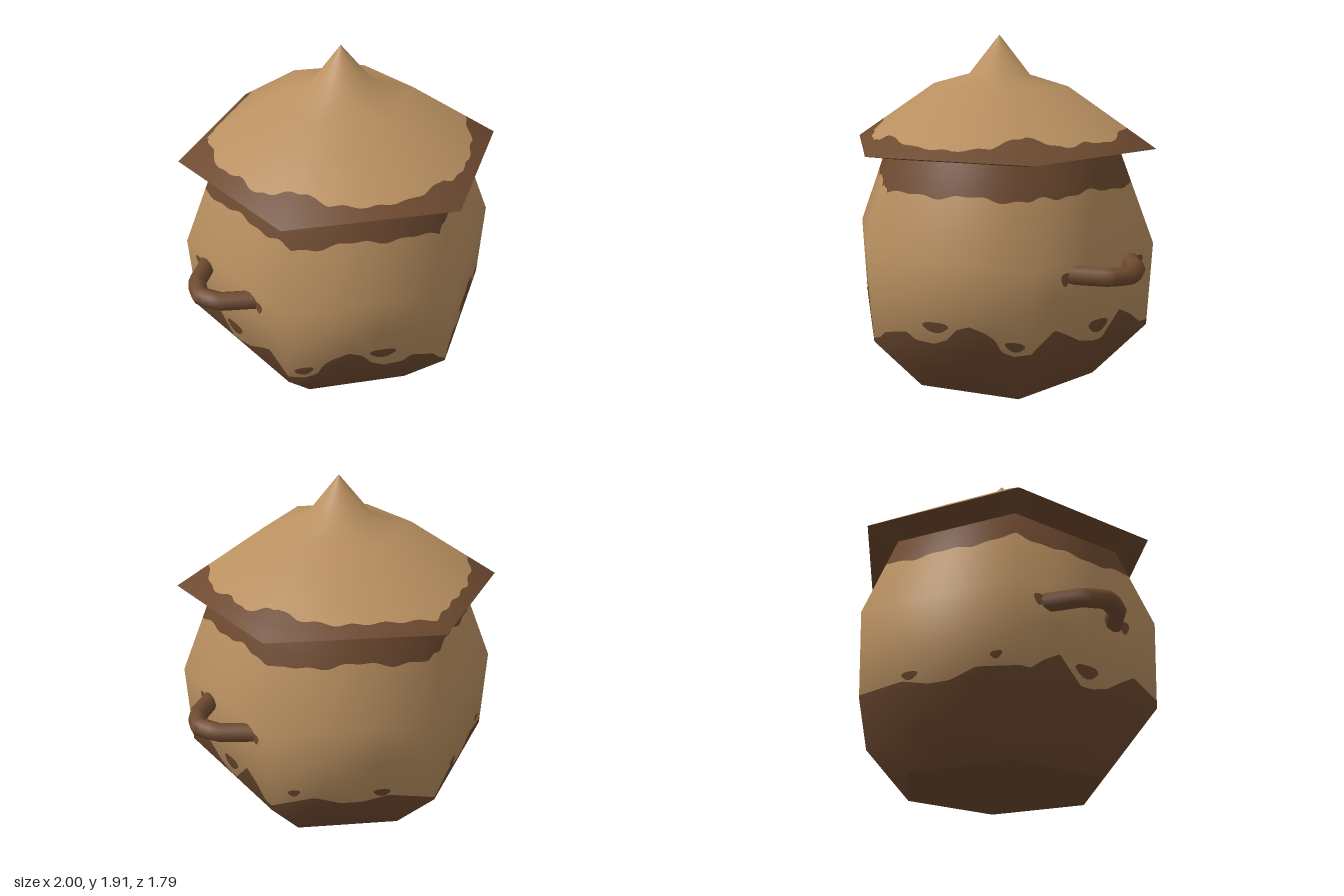
import * as THREE from 'three';

const tan = new THREE.MeshStandardMaterial({ color: 0xb88f60 });
tan.name = 'lightClay';
const brown = new THREE.MeshStandardMaterial({ color: 0x6e4a30 });
brown.name = 'brownGlaze';

// Hexagon direction: u runs 0..6 round the pot, whole numbers are corners, 0 is +z
function hex(u) {
  const i = Math.floor(u), f = u - i;
  const a = i * Math.PI / 3, b = a + Math.PI / 3;
  return [Math.sin(a) * (1 - f) + Math.sin(b) * f, Math.cos(a) * (1 - f) + Math.cos(b) * f];
}
const fold = (u) => (u > 3 ? 6 - u : u);

// Piecewise linear lookup in a short list of [key, value]
function lookup(table, k) {
  let i = 0;
  while (i < table.length - 2 && k > table[i + 1][0]) i++;
  const [k0, v0] = table[i], [k1, v1] = table[i + 1];
  return v0 + (v1 - v0) * Math.min(1, Math.max(0, (k - k0) / (k1 - k0)));
}

// Hexagonal surface from a rising profile of [y, radius], with smooth normals
function makeSurface(profile) {
  const seg = profile.slice(1).map(([y, r], i) =>
    new THREE.Vector2(y - profile[i][0], profile[i][1] - r).normalize());
  const normals = profile.map((_, i) =>
    (seg[i - 1] || seg[i]).clone().add(seg[i] || seg[i - 1]).normalize());
  const nr = profile.map((p, i) => [p[0], normals[i].x]);
  const ny = profile.map((p, i) => [p[0], normals[i].y]);
  return (u, y, lift = 0) => {
    const [dx, dz] = hex(u), r = lookup(profile, y), k = lookup(nr, y);
    const n = new THREE.Vector3(dx * k, lookup(ny, y), dz * k).normalize();
    return { p: new THREE.Vector3(dx * r, y, dz * r).addScaledVector(n, lift), n };
  };
}

function build(name, points, index, material) {
  const g = new THREE.BufferGeometry();
  g.setAttribute('position', new THREE.Float32BufferAttribute(points.flatMap((v) => v.p.toArray()), 3));
  g.setAttribute('normal', new THREE.Float32BufferAttribute(points.flatMap((v) => v.n.toArray()), 3));
  g.setIndex(index);
  const m = new THREE.Mesh(g, material);
  m.name = name;
  return m;
}

// Ring of surface between edges; each edge is a height or a function of u
function band(name, surface, edges, material, perSide = 48) {
  const points = [], index = [], n = perSide * 6, w = n + 1, rows = [];
  edges.forEach((e, j) => {
    if (j) rows.push([edges[j - 1], e, 0.5]);
    rows.push([e, e, 0]);
  });
  const at = (e, u) => (typeof e === 'function' ? e(u) : e);
  rows.forEach(([a, b, t]) => {
    for (let i = 0; i <= n; i++) {
      const u = i / perSide;
      points.push(surface(u, at(a, u) * (1 - t) + at(b, u) * t));
    }
  });
  for (let j = 0; j < rows.length - 1; j++) {
    for (let i = 0; i < n; i++) {
      const a = j * w + i, c = a + w;
      index.push(a, a + 1, c + 1, a, c + 1, c);
    }
  }
  return build(name, points, index, material);
}

// Thin oval of glaze lying on the surface
function spot(name, surface, u, y, du, dy) {
  const points = [surface(u, y, 0.004)], index = [], n = 16;
  for (let i = 0; i < n; i++) {
    const a = i / n * Math.PI * 2, k = 1 + 0.12 * Math.sin(3 * a);
    points.push(surface(u + du * k * Math.cos(a), y + dy * k * Math.sin(a), 0.004));
    index.push(0, i + 1, (i + 1) % n + 1);
  }
  return build(name, points, index, brown);
}

// Wavy glaze lines, mirrored left to right
const dripLine = [[0, 0.35], [0.05, 0.36], [0.07, 0.39], [0.22, 0.41], [0.28, 0.37], [0.4, 0.36],
  [0.48, 0.39], [0.54, 0.45], [0.62, 0.475], [0.72, 0.45], [0.78, 0.42], [0.82, 0.36], [0.9, 0.345],
  [1, 0.37], [1.1, 0.42], [1.18, 0.46], [1.27, 0.42], [1.39, 0.36], [1.5, 0.337], [1.58, 0.337],
  [1.64, 0.39], [1.73, 0.47], [1.84, 0.42], [1.93, 0.36], [2, 0.36], [2.26, 0.39], [2.42, 0.345],
  [2.55, 0.345], [2.72, 0.38], [2.88, 0.36], [3, 0.345]];
const lidLine = [[0, 1.415], [0.15, 1.385], [0.25, 1.37], [0.5, 1.36], [0.75, 1.38], [0.9, 1.42],
  [1, 1.435], [1.15, 1.4], [1.3, 1.37], [1.5, 1.385], [1.7, 1.37], [1.88, 1.41], [2, 1.43],
  [2.15, 1.39], [2.4, 1.365], [3, 1.37]];
const drip = (u) => lookup(dripLine, fold(u));
const lidEdge = (u) => lookup(lidLine, fold(u)) + 0.004 * Math.sin(fold(u) * 31);
const neck = (u) => 1.118 + 0.01 * Math.sin(fold(u) * 13) + 0.006 * Math.sin(fold(u) * 29);

export function createModel() {
  const model = new THREE.Group();
  model.name = 'lidded pot';

  // Body
  const body = makeSurface([[0, 0.57], [0.33, 0.87], [0.8, 0.893], [1.29, 0.7]]);
  model.add(
    band('glazedBase', body, [0, 0.33, drip], brown),
    band('bodyWall', body, [drip, 0.8, neck], tan),
    band('neckBand', body, [neck, 1.29], brown),
  );
  const bottom = new THREE.Mesh(
    new THREE.CircleGeometry(0.57, 6, Math.PI / 2).rotateX(Math.PI / 2), brown);
  bottom.name = 'bottom';
  model.add(bottom);

  // Glaze spots and the smears round the handle ends
  const spots = [[0.41, 0.455, 0.08, 0.028], [0.9, 0.4, 0.058, 0.025], [1.54, 0.42, 0.08, 0.036],
    [2.14, 0.435, 0.035, 0.02], [2.67, 0.405, 0.05, 0.022],
    [1.25, 0.72, 0.035, 0.035], [1.87, 0.725, 0.035, 0.03]];
  for (const [u, y, du, dy] of spots) {
    model.add(spot('glazeSpot', body, u, y, du, dy), spot('glazeSpot', body, 6 - u, y, du, dy));
  }

  // Lid with pointed knob
  const lid = makeSurface([[1.318, 0.893], [1.64, 0.4], [1.7, 0.18], [1.915, 0.001]]);
  const underside = makeSurface([[1.285, 0.7], [1.318, 0.893]]);
  model.add(
    band('lidUnderside', underside, [1.285, 1.318], brown, 4),
    band('lidRim', lid, [1.318, lidEdge], brown),
    band('lidTop', lid, [lidEdge, 1.64, 1.7, 1.915], tan),
  );

  // Side handles
  for (const s of [1, -1]) {
    const path = new THREE.CatmullRomCurve3(
      [[0.72, -0.295], [0.9, -0.165], [0.95, -0.055], [0.9, 0.055], [0.72, 0.185]]
        .map(([x, z]) => new THREE.Vector3(s * x, 0.727, z)), false, 'catmullrom', 0.1);
    const handle = new THREE.Mesh(new THREE.TubeGeometry(path, 16, 0.05, 8), brown);
    handle.name = s > 0 ? 'leftHandle' : 'rightHandle';
    model.add(handle);
  }
  return model;
}
